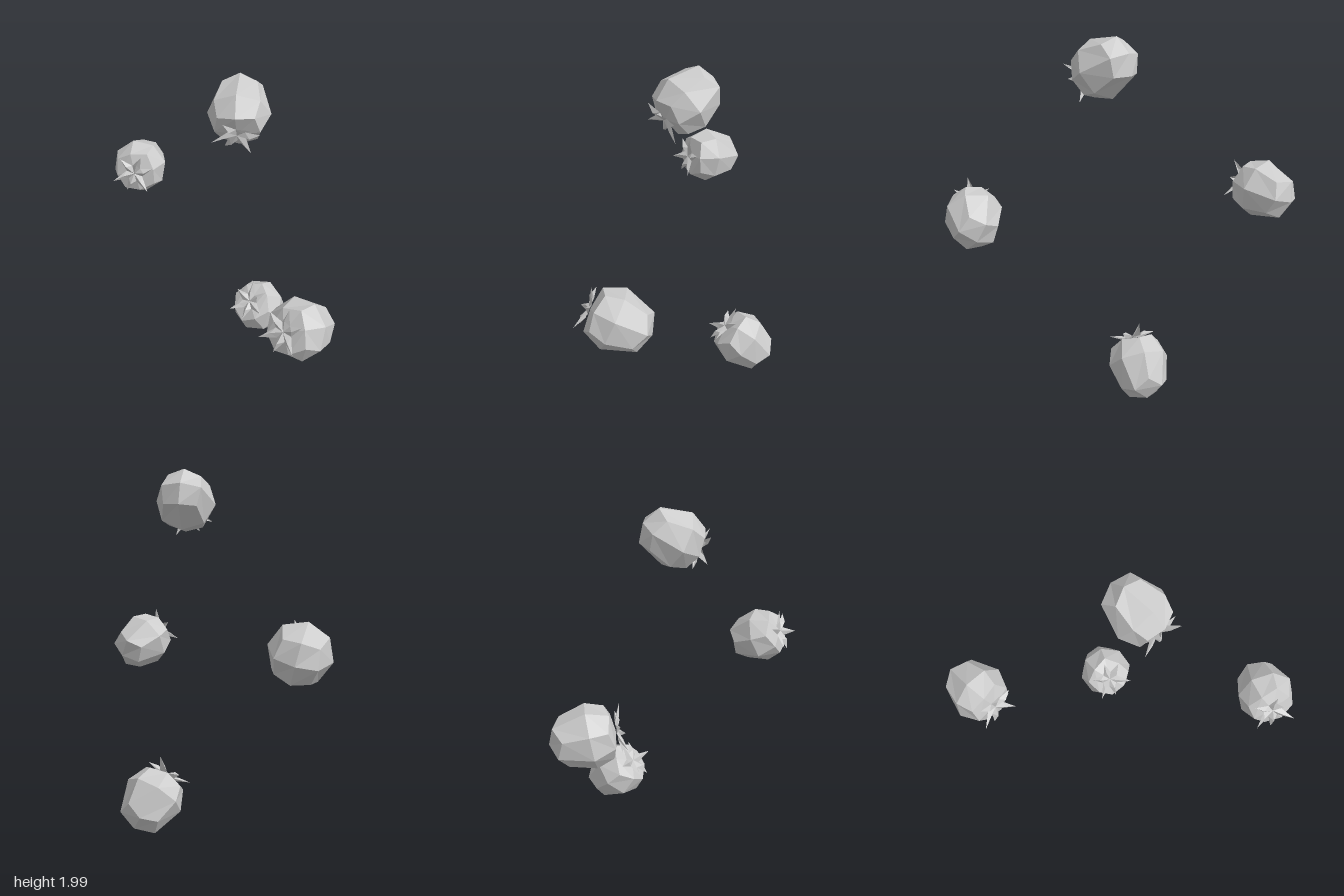
import * as THREE from 'three';

const material = new THREE.MeshStandardMaterial({ color: 0xcccccc, flatShading: true });
const leafMaterial = new THREE.MeshStandardMaterial({
  color: 0xcccccc, flatShading: true, side: THREE.DoubleSide,
});

// Fruit: a 24-quad box rounded into a tapering berry, tip towards -y
function fruitGeometry() {
  const geometry = new THREE.BoxGeometry(2, 2, 2, 2, 2, 2);
  const p = geometry.attributes.position;
  for (let i = 0; i < p.count; i++) {
    const x = p.getX(i), y = p.getY(i), z = p.getZ(i);
    const reach = Math.hypot(x, z);
    const corner = reach > 1.2;
    let radius = 0.172, height = 0.03;
    if (y > 0.5) {
      radius = corner ? 0.14 : 0.122;
      height = reach < 0.1 ? 0.16 : corner ? 0.125 : 0.145;
    } else if (y < -0.5) {
      radius = corner ? 0.133 : 0.112;
      height = reach < 0.1 ? -0.188 : corner ? -0.11 : -0.15;
    }
    const k = reach < 0.1 ? 0 : radius / reach;
    p.setXYZ(i, x * k, height, z * k);
  }
  geometry.computeVertexNormals();
  return geometry;
}

// Leaf crown: a star of folded, pointed leaves curling off the fruit
function crownGeometry(leaves = 6) {
  const points = [];
  const at = (angle, r, y) => [Math.cos(angle) * r, y, Math.sin(angle) * r];
  const step = (Math.PI * 2) / leaves;
  const centre = [0, 0.168, 0];
  for (let i = 0; i < leaves; i++) {
    const a = i * step;
    const left = at(a - step / 2, 0.052, 0.163);
    const right = at(a + step / 2, 0.052, 0.163);
    const ridge = at(a, 0.068, 0.19);
    const tip = at(a + 0.12 * (i % 3 - 1), 0.125 + 0.012 * (i % 2), i % 2 ? 0.205 : 0.172);
    points.push(...centre, ...ridge, ...left, ...centre, ...right, ...ridge,
      ...left, ...ridge, ...tip, ...ridge, ...right, ...tip);
  }
  const geometry = new THREE.BufferGeometry();
  geometry.setAttribute('position', new THREE.Float32BufferAttribute(points, 3));
  geometry.computeVertexNormals();
  return geometry;
}

export function createModel() {
  const model = new THREE.Group();
  const fruit = fruitGeometry();
  const crown = crownGeometry();

  // Each berry: centre, direction its crown points, roll about its axis
  const berries = [
    { name: 'topBerry', centre: [0.13, 1.83, -0.08], facing: [0.2, -0.5, 0.83], roll: 0.3 },
    { name: 'rightBerry', centre: [-0.68, 1.07, -0.53], facing: [0.15, 0.14, 0.97], roll: 0.4 },
    { name: 'leftBerry', centre: [0.68, 0.905, 0.47], facing: [-0.38, 0.4, 0.82], roll: 0.1 },
    { name: 'bottomBerry', centre: [0.18, 0.18, -0.46], facing: [-0.25, 0.68, 0.68], roll: 0.4 },
  ];
  const up = new THREE.Vector3(0, 1, 0);
  for (const { name, centre, facing, roll } of berries) {
    const berry = new THREE.Group();
    berry.name = name;
    const body = new THREE.Mesh(fruit, material);
    body.name = 'fruit';
    const leaves = new THREE.Mesh(crown, leafMaterial);
    leaves.name = 'leafCrown';
    berry.add(body, leaves);
    berry.position.set(...centre);
    berry.quaternion.setFromUnitVectors(up, new THREE.Vector3(...facing).normalize());
    berry.rotateY(roll);
    model.add(berry);
  }
  return model;
}
